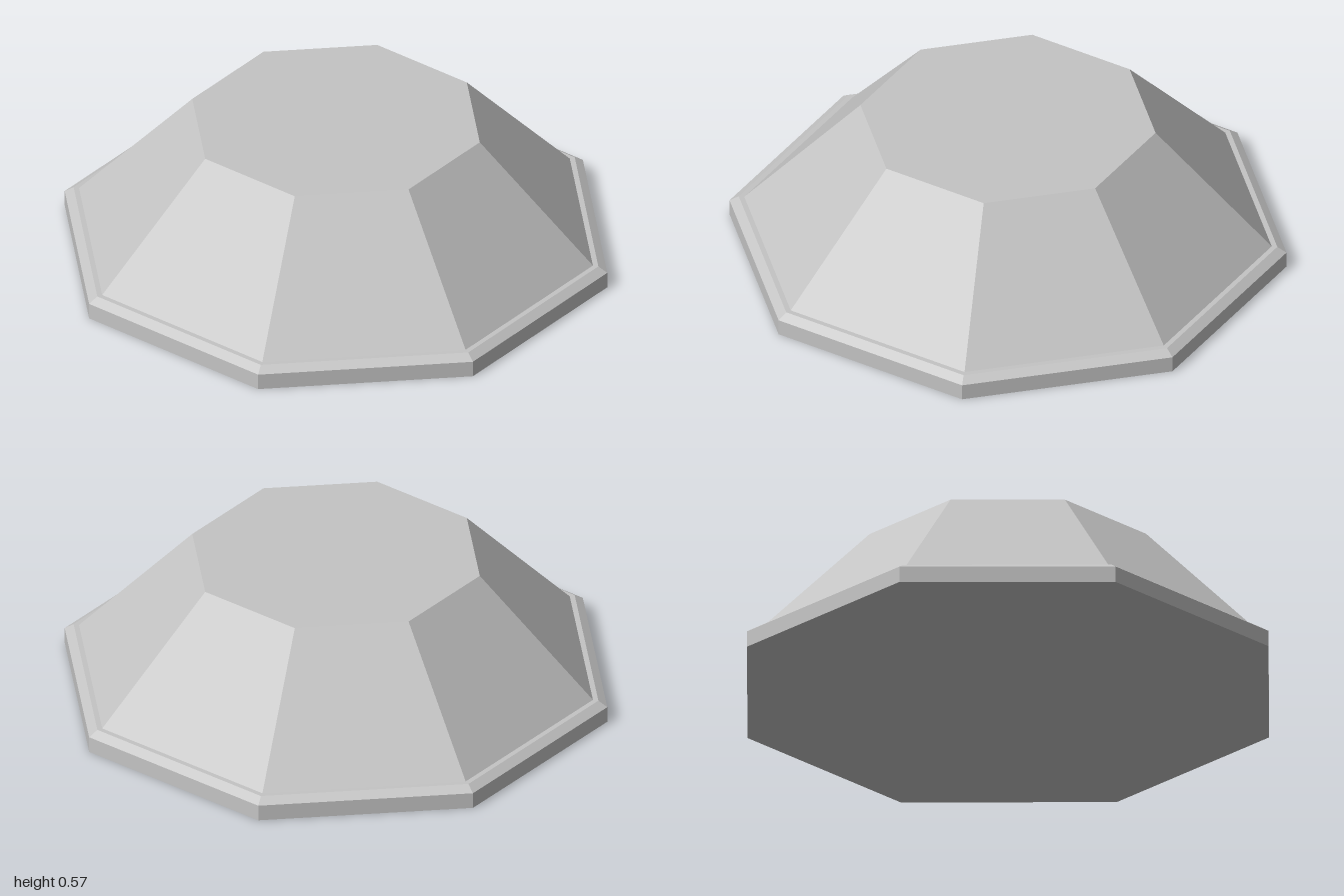
import * as THREE from 'three';

// Octagonal ring of faces; profile points are [distance to flat side, height], bottom to top
function octagon(name, profile, material) {
  const toCorner = 1 / Math.cos(Math.PI / 8);
  const points = profile.map(([r, y]) => new THREE.Vector2(r * toCorner, y));
  const mesh = new THREE.Mesh(new THREE.LatheGeometry(points, 8, Math.PI / 8), material);
  mesh.name = name;
  return mesh;
}

export function createModel() {
  const grey = new THREE.MeshStandardMaterial({ color: 0xc4c4c4, flatShading: true });
  grey.name = 'light grey';

  const group = new THREE.Group();
  group.name = 'octagonalDome';

  // Flat underside and low rim with a bevelled lip
  group.add(octagon('rim', [[0, 0], [1, 0], [1, 0.065], [0.967, 0.088], [0.947, 0.088]], grey));
  // Sloping walls closed by a flat roof
  group.add(octagon('slopedBody', [[0.947, 0.088], [0.53, 0.567], [0, 0.567]], grey));

  return group;
}
